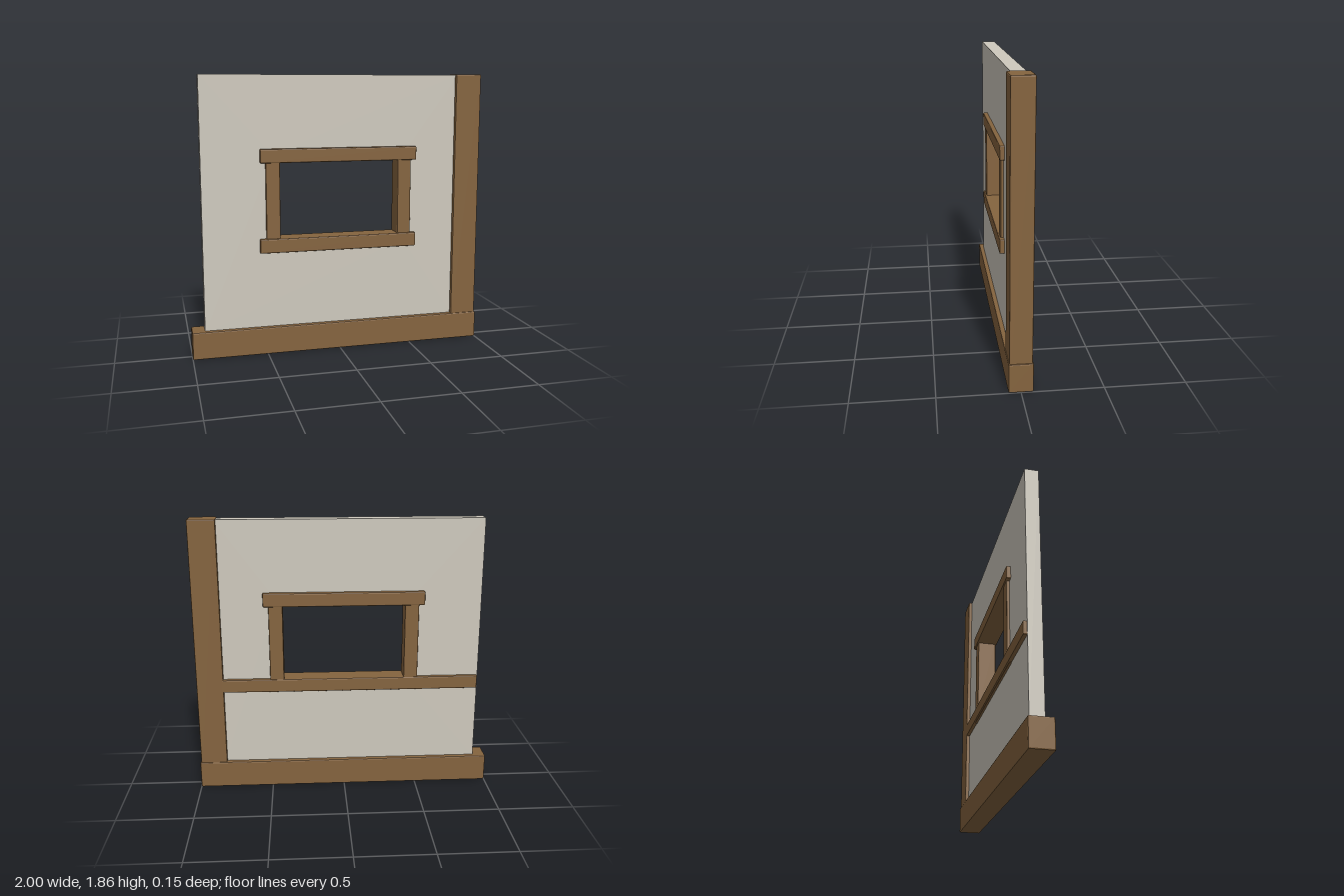
import * as THREE from 'three';
import { RoundedBoxGeometry } from 'three/addons/geometries/RoundedBoxGeometry.js';

const wood = new THREE.MeshStandardMaterial({ color: 0x85643f, flatShading: true });
const plaster = new THREE.MeshStandardMaterial({ color: 0xcfcabe, flatShading: true });

// Timber with chamfered edges, given by its extents on each axis
function beam(name, [x0, x1], [y0, y1], [z0, z1]) {
  const geometry = new RoundedBoxGeometry(x1 - x0, y1 - y0, z1 - z0, 1, 0.008);
  const mesh = new THREE.Mesh(geometry, wood);
  mesh.position.set((x0 + x1) / 2, (y0 + y1) / 2, (z0 + z1) / 2);
  mesh.name = name;
  return mesh;
}

function rectangle(target, x0, y0, x1, y1) {
  target.moveTo(x0, y0);
  target.lineTo(x1, y0);
  target.lineTo(x1, y1);
  target.lineTo(x0, y1);
  target.closePath();
  return target;
}

export function createModel() {
  const group = new THREE.Group();
  group.name = 'timberWallWithWindow';

  // Plaster panel with the window opening
  const outline = rectangle(new THREE.Shape(), -0.915, 0.17, 0.83, 1.855);
  outline.holes.push(rectangle(new THREE.Path(), -0.45, 0.74, 0.45, 1.335));
  const panelGeometry = new THREE.ExtrudeGeometry(outline, { depth: 0.09, bevelEnabled: false });
  panelGeometry.translate(0, 0, -0.045);
  const panel = new THREE.Mesh(panelGeometry, plaster);
  panel.name = 'wallPanel';
  group.add(panel);

  // Main frame
  group.add(beam('baseBeam', [-1, 1], [0, 0.185], [-0.075, 0.075]));
  group.add(beam('cornerPost', [0.813, 0.993], [0.175, 1.86], [-0.07, 0.07]));

  // Window frame
  group.add(beam('windowLintel', [-0.535, 0.533], [1.288, 1.38], [-0.075, 0.075]));
  group.add(beam('windowSill', [-0.542, 0.535], [0.692, 0.787], [-0.06, 0.075]));
  for (const side of [-1, 1]) {
    const x = side * 0.451;
    group.add(beam(side > 0 ? 'leftJamb' : 'rightJamb',
      [x - 0.047, x + 0.047], [0.775, 1.3], [-0.065, 0.065]));
  }

  // Rail across the back at sill height
  group.add(beam('backRail', [-0.91, 0.83], [0.697, 0.787], [-0.07, -0.01]));

  return group;
}
